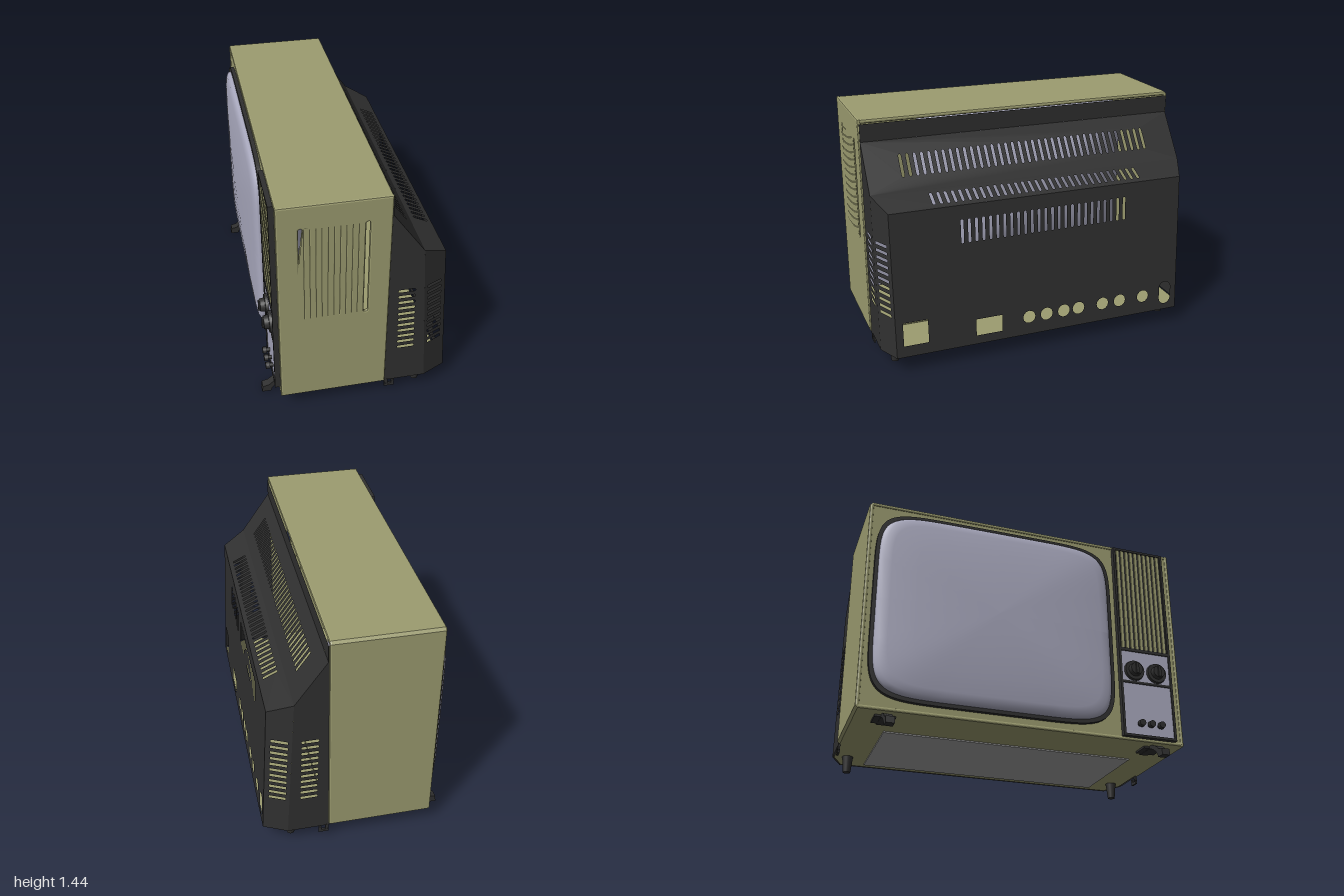
import * as THREE from 'three';

const mat = (color) => new THREE.MeshStandardMaterial({ color, side: THREE.DoubleSide });
const V3 = (x, y, z) => new THREE.Vector3(x, y, z);
const UZ = V3(0, 0, 1), UX = V3(1, 0, 0), UY = V3(0, 1, 0);

export function createModel() {
  const model = new THREE.Group();
  const khaki = mat(0x9c9c70), black = mat(0x303030), glass = mat(0xaaaabf), plateGrey = mat(0xa0a0a0);

  const add = (name, geo, material) => {
    const m = new THREE.Mesh(geo, material);
    m.name = name;
    model.add(m);
    return m;
  };
  // box given by its min and max corners
  const box = (name, x0, x1, y0, y1, z0, z1, material) => {
    const g = new THREE.BoxGeometry(x1 - x0, y1 - y0, z1 - z0);
    g.translate((x0 + x1) / 2, (y0 + y1) / 2, (z0 + z1) / 2);
    return add(name, g, material);
  };
  const knob = (name, x0, x1, y, z, r0, r1, sides = 24) => {
    const g = new THREE.CylinderGeometry(r1, r0, x1 - x0, sides);
    g.rotateZ(Math.PI / 2);
    g.translate((x0 + x1) / 2, y, z);
    return add(name, g, black);
  };
  const poly = (pts) => new THREE.Shape(pts.map((p) => new THREE.Vector2(...p)));
  // upright or lying slot with round ends
  const slot = (u0, u1, v0, v1, round = true) => {
    const p = new THREE.Path(), w = u1 - u0, h = v1 - v0, r = Math.min(w, h) / 2;
    if (!round) return p.moveTo(u0, v0).lineTo(u1, v0).lineTo(u1, v1).lineTo(u0, v1).closePath();
    if (h > w) {
      p.absarc(u0 + r, v1 - r, r, 0, Math.PI);
      p.absarc(u0 + r, v0 + r, r, Math.PI, 2 * Math.PI);
    } else {
      p.absarc(u1 - r, v0 + r, r, -Math.PI / 2, Math.PI / 2);
      p.absarc(u0 + r, v0 + r, r, Math.PI / 2, Math.PI * 1.5);
    }
    return p.closePath();
  };
  // carry a flat geometry onto the plane spanned by U and V
  const place = (geo, origin, U, V) => {
    const W = U.clone().cross(V).normalize();
    return geo.applyMatrix4(new THREE.Matrix4().makeBasis(U, V, W).setPosition(origin));
  };
  const panel = (name, pts, holes, origin, U, V, material = black) => {
    const s = poly(pts);
    s.holes.push(...holes);
    return add(name, place(new THREE.ShapeGeometry(s, 6), origin, U, V), material);
  };
  const solid = (name, shape, depth, origin, U, V, material, bevel = 0) => add(name, place(
    new THREE.ExtrudeGeometry(shape, {
      depth, bevelEnabled: bevel > 0, bevelSize: bevel, bevelThickness: bevel,
      bevelOffset: -bevel, bevelSegments: 2, curveSegments: 8,
    }), origin, U, V), material);

  // cabinet: roof, floor and plain side in one wrap, slotted side apart
  const wrap = poly([[0.99, 0.1], [0.99, 0.125], [-0.975, 0.125], [-0.975, 1.415], [0.99, 1.415],
    [0.99, 1.44], [-0.985, 1.44], [-1, 1.425], [-1, 0.115], [-0.985, 0.1]]);
  solid('cabinetWrap', wrap, 0.605, V3(0.155, 0, 0), UZ, UY, khaki, 0.01);
  const side = poly([[-0.46, 0.1], [0.165, 0.1], [0.165, 1.44], [-0.46, 1.44]]);
  for (let i = 0; i < 12; i++) {
    const x = -0.34 + i * 0.0329;
    side.holes.push(slot(x, x + 0.02, 0.68, 1.295));
  }
  solid('cabinetSlottedSide', side, 0.004, V3(0, 0, 0.986), UX, UY, khaki, 0.01);
  box('frontBoard', -0.455, -0.435, 0.11, 1.43, -0.985, 0.985, khaki);

  // picture tube: bulged screen in front, domed funnel behind
  const pw = (v, n) => Math.sign(v) * Math.abs(v) ** (2 / n);
  const profile = [[0, -0.545], [0.2, -0.543], [0.45, -0.538], [0.7, -0.528], [0.9, -0.515],
    [0.96, -0.507], [0.99, -0.495], [1, -0.48], [1, -0.4]];
  for (let i = 14; i >= 0; i--) {
    const a = (i / 14) * Math.PI / 2;
    profile.push([Math.sin(a), -0.365 + 0.33 * Math.cos(a)]);
  }
  const tube = new THREE.LatheGeometry(profile.map((p) => new THREE.Vector2(...p)), 96);
  const tp = tube.attributes.position;
  for (let i = 0; i < tp.count; i++) {
    const x = tp.getX(i), h = tp.getY(i), z = tp.getZ(i), r = Math.hypot(x, z), a = Math.atan2(x, z);
    tp.setXYZ(i, h, 0.77 + 0.59 * r * pw(Math.sin(a), 7), -0.2 + 0.73 * r * pw(Math.cos(a), 7));
  }
  tube.computeVertexNormals();
  add('pictureTube', tube, glass);
  const outline = (a, b) => Array.from({ length: 96 }, (_, i) => {
    const t = (i / 96) * Math.PI * 2;
    return [-0.2 + a * pw(Math.cos(t), 7), 0.77 + b * pw(Math.sin(t), 7)];
  });
  const bezel = poly(outline(0.752, 0.612));
  bezel.holes.push(poly(outline(0.728, 0.588)));
  solid('screenBezel', bezel, 0.026, V3(-0.453, 0, 0), UZ, UY, black);

  // control column: speaker grille above, knobs below
  box('controlBase', -0.475, -0.45, 0.12, 1.42, 0.59, 0.94, black);
  const frame = poly([[0.59, 0.12], [0.94, 0.12], [0.94, 1.42], [0.59, 1.42]]);
  frame.holes.push(slot(0.605, 0.925, 0.7, 1.405, false), slot(0.605, 0.925, 0.48, 0.68, false),
    slot(0.605, 0.925, 0.135, 0.465, false));
  solid('controlFrame', frame, 0.015, V3(-0.472, 0, 0), UZ, UY, black);
  for (let i = 0; i < 10; i++) {
    const z = 0.614 + i * 0.0315;
    box('grilleSlat', -0.482, -0.47, 0.7, 1.405, z, z + 0.017, khaki);
  }
  box('knobPlate', -0.48, -0.47, 0.48, 0.68, 0.605, 0.925, glass);
  box('lowerPlate', -0.48, -0.47, 0.135, 0.465, 0.605, 0.925, glass);
  box('controlChassis', -0.435, -0.38, 0.14, 0.66, 0.61, 0.92, glass);
  for (const z of [0.685, 0.835]) {
    knob('dialRing', -0.497, -0.478, 0.55, z, 0.066, 0.062);
    knob('dial', -0.525, -0.495, 0.55, z, 0.042, 0.038);
    box('dialGrip', -0.535, -0.52, 0.515, 0.585, z - 0.009, z + 0.009, black);
  }
  for (const z of [0.7, 0.765, 0.83]) {
    knob('smallKnobStem', -0.5, -0.478, 0.2, z, 0.012, 0.012, 16);
    knob('smallKnob', -0.525, -0.5, 0.2, z, 0.022, 0.02, 16);
  }

  // rear shell: thin panels with ventilation slots and socket holes
  const ventRow = (n, mid, v0, v1) => Array.from({ length: n }, (_, i) => {
    const z = mid + (i - (n - 1) / 2) * 0.0433;
    return slot(z - 0.0085, z + 0.0085, v0, v1);
  });
  const sockets = [0.095, -0.02, -0.135, -0.235, -0.4, -0.52, -0.685].map((z) => {
    const p = new THREE.Path();
    p.absarc(z, 0.215, 0.04, 0, Math.PI * 2);
    return p;
  });
  const lean = V3(-0.0568, 1, 0);
  panel('rearPanel', [[-0.925, 0.1], [0.925, 0.1], [0.925, 0.98], [-0.925, 0.98]],
    [...ventRow(25, -0.02, 0.75, 0.895), ...sockets, slot(0.73, 0.88, 0.17, 0.315, false),
      slot(0.27, 0.435, 0.155, 0.26, false), slot(-0.885, -0.805, 0.14, 0.29)],
    V3(0.5557, 0, 0), UZ, lean);
  panel('rearShoulder', [[-0.99, 0.356], [0.99, 0.356], [0.925, 0.5], [-0.925, 0.5]],
    ventRow(31, 0, 0.388, 0.473), V3(0, 1.223, 0), UZ, V3(1, -0.486, 0));
  panel('rearSlope', [[-0.99, 0.17], [0.99, 0.17], [0.99, 0.356], [-0.99, 0.356]],
    ventRow(37, 0, 0.224, 0.306), V3(0, 1.5476, 0), UZ, V3(1, -1.398, 0));
  panel('rearLip', [[-0.99, 1.31], [0.99, 1.31], [0.99, 1.415], [-0.99, 1.415]],
    [], V3(0.17, 0, 0), UZ, UY);
  const rows = Array.from({ length: 11 }, (_, i) => 0.35 + i * 0.0423);
  for (const s of [1, -1]) {
    panel('shellSide', [[0.16, 0.1], [0.41, 0.1], [0.356, 1.05], [0.17, 1.31], [0.17, 1.415], [0.16, 1.415]],
      rows.map((y, i) => slot(0.232 - i * 0.0012, 0.332 - i * 0.0012, y, y + 0.017)),
      V3(0, 0, s * 0.99), UX, UY);
    panel('shellCorner', [[0, 0.1], [1, 0.1], [1, 0.98], [0, 1.05]],
      rows.map((y) => slot(0.15, 0.8, y, y + 0.017, false)),
      V3(0.4157, 0, s * 0.99), V3(0.14, 0, -s * 0.065), lean);

    // hook below the shell edge
    box('hookStem', 0.165, 0.185, 0.07, 0.105, s * 0.985 - 0.006, s * 0.985 + 0.006, black);
    const hook = poly([[0.165, 0.05], [0.225, 0.05], [0.225, 0.09], [0.208, 0.09], [0.208, 0.068], [0.165, 0.068]]);
    solid('hook', hook, 0.012, V3(0, 0, s * 0.985 - 0.006), UX, UY, black);

    // front foot: curved arm on a mounting plate
    const foot = new THREE.Shape();
    foot.moveTo(-0.27, 0.1).lineTo(-0.42, 0.1).quadraticCurveTo(-0.48, 0.085, -0.51, 0.05);
    foot.lineTo(-0.55, 0.04).lineTo(-0.555, 0).lineTo(-0.5, 0).lineTo(-0.495, 0.02);
    foot.quadraticCurveTo(-0.45, 0.075, -0.39, 0.085).lineTo(-0.27, 0.088).closePath();
    solid('frontFoot', foot, 0.05, V3(0, 0, s * 0.82 - 0.025), UX, UY, black);
    box('frontFootPlate', -0.4, -0.29, 0.088, 0.102, s * 0.82 - 0.06, s * 0.82 + 0.06, black);

    // rear foot
    const peg = new THREE.CylinderGeometry(0.034, 0.023, 0.1, 20);
    peg.translate(0.38, 0.05, s * 0.9);
    add('rearFoot', peg, black);
  }

  // underside
  panel('shellFloor', [[0.15, -0.98], [0.41, -0.98], [0.54, -0.92], [0.54, 0.92], [0.41, 0.98], [0.15, 0.98]],
    [], V3(0, 0.102, 0), UX, UZ, khaki);
  box('basePlate', -0.15, 0.48, 0.092, 0.1, -0.78, 0.78, plateGrey);

  return model;
}
